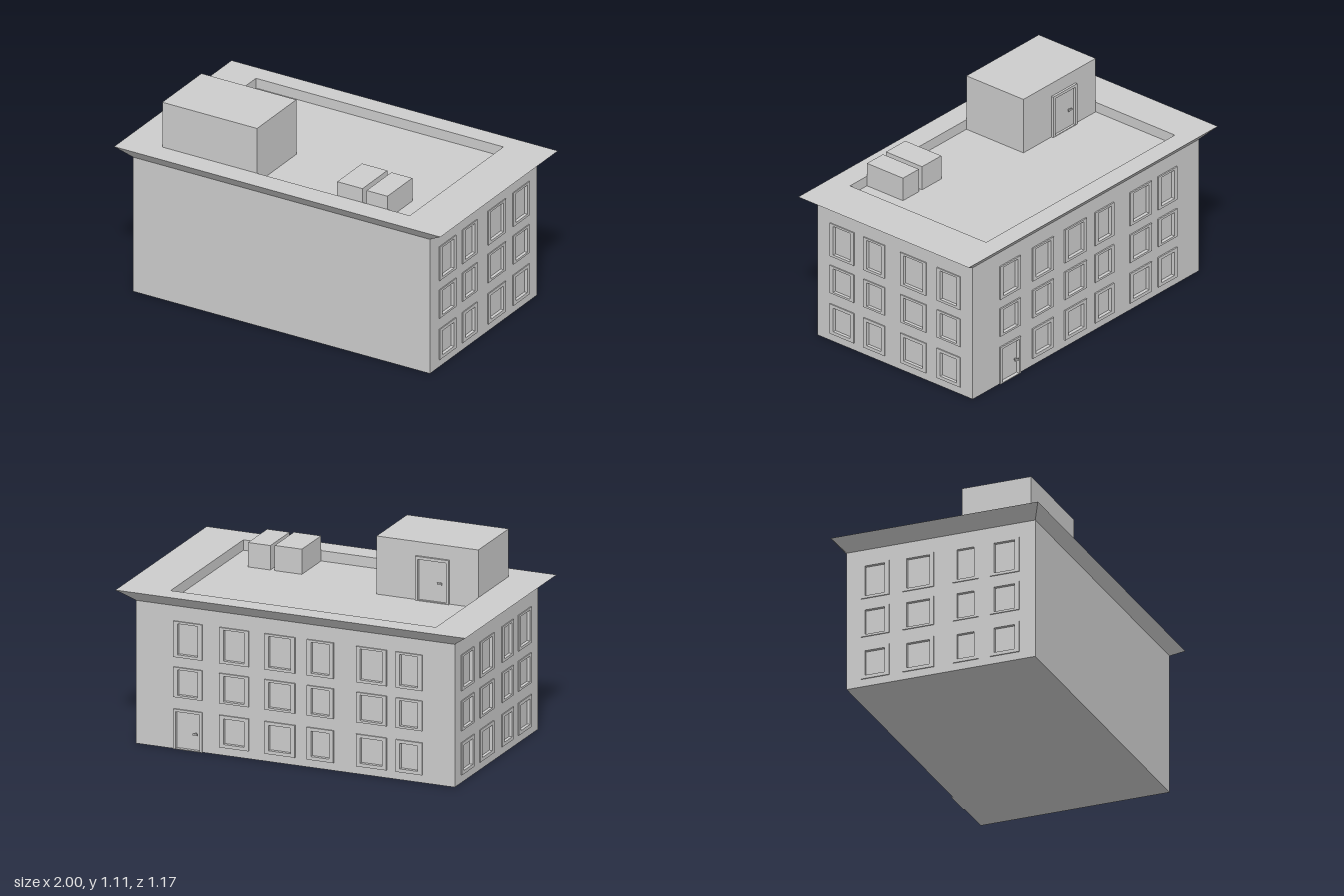
import * as THREE from 'three';

const concrete = new THREE.MeshStandardMaterial({ color: 0xcccccc });
concrete.name = 'concrete grey';

// Main dimensions
const BODY = { x0: -0.915, x1: 0.905, z0: -0.532, z1: 0.535, top: 0.785 };
const WALL = 0.012;      // wall skin thickness, also the depth of window reveals
const FLOOR = 0.788;     // roof deck height

// Window columns [start, end] and rows [outer bottom, outer top, inner bottom, inner top]
const sideColumns = [[0.28, 0.445], [0.07, 0.215], [-0.215, -0.038], [-0.45, -0.29]];
const backColumns = [[0.526, 0.69], [0.261, 0.428], [-0.004, 0.17], [-0.224, -0.072], [-0.527, -0.353], [-0.731, -0.58]];
const rows = [[0.043, 0.22, 0.062, 0.202], [0.285, 0.45, 0.297, 0.437], [0.505, 0.702, 0.52, 0.69]];

function add(parent, name, geometry) {
  const mesh = new THREE.Mesh(geometry, concrete);
  mesh.name = name;
  parent.add(mesh);
  return mesh;
}

function box(parent, name, x0, x1, y0, y1, z0, z1) {
  const mesh = add(parent, name, new THREE.BoxGeometry(x1 - x0, y1 - y0, z1 - z0));
  mesh.position.set((x0 + x1) / 2, (y0 + y1) / 2, (z0 + z1) / 2);
  return mesh;
}

function rect(Type, [x0, x1, y0, y1]) {
  return new Type([[x0, y0], [x1, y0], [x1, y1], [x0, y1]].map(p => new THREE.Vector2(...p)));
}

// Flat plate with rectangular holes, from z = 0 outward
function plate(outer, holes, depth) {
  const shape = rect(THREE.Shape, outer);
  shape.holes = holes.map(h => rect(THREE.Path, h));
  return new THREE.ExtrudeGeometry(shape, { depth, bevelEnabled: false });
}

// Wall with recessed openings and raised frames; faces local +z with its surface at z = 0
function facade(name, u0, u1, openings, raise) {
  const group = new THREE.Group();
  group.name = name;
  add(group, 'wall', plate([u0, u1, 0, BODY.top], openings.map(o => o.inner), WALL)).position.z = -WALL;
  for (const o of openings) add(group, o.name, plate(o.outer, [o.inner], raise));
  return group;
}

function windowOpening([a, b], [y0, y1, i0, i1]) {
  return { name: 'windowFrame', outer: [a, b, y0, y1], inner: [a + 0.024, b - 0.024, i0, i1] };
}

// Lever handle facing local +z
function handle(parent, x, y, z) {
  const group = new THREE.Group();
  group.name = 'doorHandle';
  box(group, 'stem', -0.004, 0.004, -0.004, 0.004, 0, 0.014);
  box(group, 'lever', -0.014, 0.014, -0.005, 0.005, 0.013, 0.019);
  group.position.set(x, y, z);
  parent.add(group);
}

// Flared roof with a sunken deck, lofted through rectangular loops
function roofGeometry() {
  const loops = [
    [BODY.x0, BODY.x1, BODY.z0, BODY.z1, BODY.top],
    [-1, 1, -0.587, 0.585, 0.845],
    [-0.783, 0.733, -0.477, 0.457, 0.845],
    [-0.783, 0.733, -0.477, 0.457, FLOOR],
  ].map(([x0, x1, z0, z1, y]) => [[x0, y, z1], [x1, y, z1], [x1, y, z0], [x0, y, z0]]);
  const pos = [];
  const quad = (a, b, c, d) => pos.push(...a, ...b, ...c, ...a, ...c, ...d);
  for (let i = 0; i < 3; i++) {
    for (let j = 0; j < 4; j++) {
      const k = (j + 1) % 4;
      quad(loops[i][j], loops[i][k], loops[i + 1][k], loops[i + 1][j]);
    }
  }
  quad(...loops[3]);
  const geometry = new THREE.BufferGeometry();
  geometry.setAttribute('position', new THREE.Float32BufferAttribute(pos, 3));
  geometry.computeVertexNormals();
  return geometry;
}

export function createModel() {
  const model = new THREE.Group();
  model.name = 'building';

  // Solid core: its surface shows as the panes and the plain front
  box(model, 'core', BODY.x0 + WALL, BODY.x1 - WALL, 0, BODY.top, BODY.z0 + WALL, BODY.z1);

  // Side walls, the same windows on both sides
  for (const side of [1, -1]) {
    const flip = (a, b) => side > 0 ? [-b, -a] : [a, b];
    const openings = sideColumns.flatMap(c => rows.map(r => windowOpening(flip(...c), r)));
    const wall = facade(side > 0 ? 'leftWall' : 'rightWall', ...flip(BODY.z0, BODY.z1), openings, 0.006);
    wall.rotation.y = side * Math.PI / 2;
    wall.position.x = side > 0 ? BODY.x1 : BODY.x0;
    model.add(wall);
  }

  // Back wall, with a door in place of one ground floor window
  const openings = backColumns.flatMap(([a, b], i) => rows.map((r, j) =>
    i === 0 && j === 0
      ? { name: 'doorFrame', outer: [-b, -a, 0, 0.22], inner: [-b + 0.014, -a - 0.014, 0.004, 0.206] }
      : windowOpening([-b, -a], r)));
  const back = facade('backWall', -BODY.x1 + WALL, -BODY.x0 - WALL, openings, 0.008);
  back.rotation.y = Math.PI;
  back.position.z = BODY.z0;
  handle(back, -0.564, 0.096, -WALL + 0.008);
  model.add(back);

  // Roof
  add(model, 'roof', roofGeometry());

  // Stairwell house with its door
  box(model, 'stairHouse', -0.783, -0.202, FLOOR, 1.107, 0.066, 0.457);
  const door = new THREE.Group();
  door.name = 'roofDoor';
  add(door, 'doorFrame', plate([0.427, 0.62, FLOOR, 1.03], [[0.443, 0.604, FLOOR + 0.004, 1.014]], 0.013));
  handle(door, 0.566, 0.895, -0.006);
  door.rotation.y = Math.PI;
  door.position.z = 0.066;
  model.add(door);

  // Rooftop air units
  box(model, 'largeAirUnit', 0.289, 0.444, FLOOR, 0.926, 0.21, 0.457);
  box(model, 'smallAirUnit', 0.469, 0.597, FLOOR, 0.922, 0.21, 0.457);

  return model;
}
